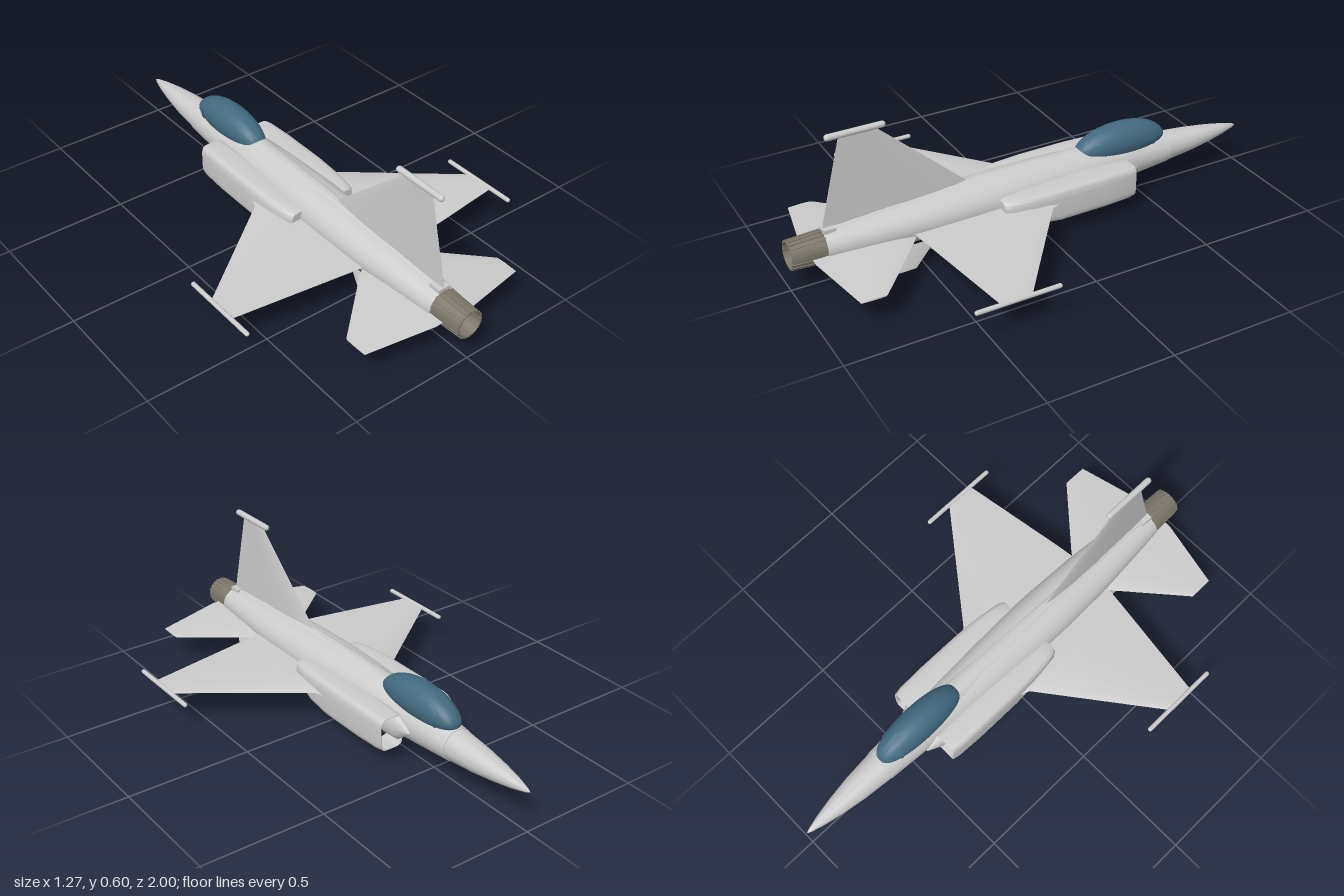
import * as THREE from 'three';
import { toCreasedNormals } from 'three/addons/utils/BufferGeometryUtils.js';

const grey = new THREE.MeshStandardMaterial({ color: 0xcccccc });
const glass = new THREE.MeshStandardMaterial({ color: 0x426a80 });
const metal = new THREE.MeshStandardMaterial({ color: 0x7d776a, side: THREE.DoubleSide });
const dark = new THREE.MeshStandardMaterial({ color: 0x2b3136, side: THREE.DoubleSide });

// Skin a list of equal-length rings and close both ends; mirror = -1 flips to the other side
function skin(rings, mirror = 1, crease = 0.6) {
  const n = rings[0].length, pos = [], idx = [];
  const tri = (a, b, c) => (mirror > 0 ? idx.push(a, b, c) : idx.push(a, c, b));
  const put = (p) => pos.push(p.x * mirror, p.y, p.z);
  rings.forEach((ring) => ring.forEach(put));
  for (let i = 0; i < rings.length - 1; i++) {
    for (let j = 0; j < n; j++) {
      const a = i * n + j, b = i * n + ((j + 1) % n);
      tri(a, b, b + n);
      tri(a, b + n, a + n);
    }
  }
  [0, rings.length - 1].forEach((r, end) => {
    const centre = rings[r].reduce((s, p) => s.add(p), new THREE.Vector3()).divideScalar(n);
    const c = pos.length / 3;
    put(centre);
    for (let j = 0; j < n; j++) {
      const a = r * n + j, b = r * n + ((j + 1) % n);
      if (end) tri(a, b, c); else tri(b, a, c);
    }
  });
  const g = new THREE.BufferGeometry();
  g.setAttribute('position', new THREE.Float32BufferAttribute(pos, 3));
  g.setIndex(idx);
  return toCreasedNormals(g, crease);
}

// Rounded cross-section: z, half width, bottom, top, squareness, centre x
function section([z, w, bottom, top, power = 2, cx = 0], sides = 40) {
  const cy = (top + bottom) / 2, h = (top - bottom) / 2;
  const bend = (v) => Math.sign(v) * Math.abs(v) ** (2 / power);
  return Array.from({ length: sides }, (_, j) => {
    const a = (j / sides) * Math.PI * 2;
    return new THREE.Vector3(cx + w * bend(Math.cos(a)), cy + h * bend(Math.sin(a)), z);
  });
}

// Thin aerofoil: span x, y, leading z, trailing z, half thickness
const FOIL = [[0, 0], [0.08, 0.6], [0.25, 0.95], [0.45, 1], [0.75, 0.6], [1, 0.12],
  [1, -0.12], [0.75, -0.6], [0.45, -1], [0.25, -0.95], [0.08, -0.6]];
const foil = ([x, y, lead, trail, t]) =>
  FOIL.map(([u, v]) => new THREE.Vector3(x, y + v * t, lead + u * (trail - lead)));

export function createModel() {
  const model = new THREE.Group();
  const add = (name, geometry, material = grey) => {
    const mesh = new THREE.Mesh(geometry, material);
    mesh.name = name;
    model.add(mesh);
    return mesh;
  };
  const pod = (name, r, length, x, y, z) =>
    add(name, new THREE.CapsuleGeometry(r, length - 2 * r, 6, 14).rotateX(Math.PI / 2)).position.set(x, y, z);

  // Nose cone and fuselage
  add('noseCone', skin([
    [-1, 0.001, 0.163, 0.165], [-0.985, 0.008, 0.155, 0.172], [-0.93, 0.023, 0.141, 0.185],
    [-0.85, 0.039, 0.126, 0.199], [-0.75, 0.054, 0.112, 0.212], [-0.625, 0.065, 0.099, 0.224],
  ].map((s) => section(s))));
  add('fuselage', skin([
    [-0.625, 0.067, 0.097, 0.226], [-0.5, 0.075, 0.085, 0.237], [-0.38, 0.083, 0.076, 0.245],
    [-0.2, 0.093, 0.068, 0.253], [-0.05, 0.1, 0.065, 0.258], [0.12, 0.106, 0.066, 0.258],
    [0.3, 0.105, 0.072, 0.253], [0.5, 0.099, 0.078, 0.243], [0.7, 0.083, 0.086, 0.23],
    [0.865, 0.066, 0.092, 0.216],
  ].map((s) => section(s))));

  // Bubble canopy with its windscreen frame
  const canopy = [];
  for (let i = 0; i <= 24; i++) {
    const a = (i / 24) * Math.PI;
    const s = Math.max(Math.sin(a), 0.005);
    canopy.push(section([-0.415 - 0.205 * Math.cos(a), 0.068 * s ** 0.75, 0.235 - 0.06 * s, 0.235 + 0.091 * s ** 1.1]));
  }
  add('canopy', skin(canopy), glass);
  add('windscreenFrame', skin([
    section([-0.553, 0.0575, 0.19, 0.294]), section([-0.546, 0.0595, 0.19, 0.298]),
  ]), glass);

  // Spine ridge behind the canopy, running into the fin
  add('spine', skin([
    [-0.25, 0.05, 0.19, 0.258], [0, 0.045, 0.19, 0.263], [0.25, 0.032, 0.19, 0.261],
    [0.6, 0.024, 0.18, 0.247], [0.86, 0.02, 0.17, 0.222],
  ].map((s) => section(s, 20))));

  for (const m of [1, -1]) {
    const side = m > 0 ? 'left' : 'right';

    // Side intake: hollow lip, then a body tapering to the rear
    add(side + 'Intake', skin([
      [-0.27, 0.043, 0.08, 0.194, 5, 0.116], [-0.388, 0.046, 0.076, 0.2, 5, 0.116],
      [-0.392, 0.05, 0.072, 0.204, 5, 0.116], [-0.36, 0.054, 0.069, 0.207, 5, 0.118],
      [-0.25, 0.058, 0.066, 0.209, 5, 0.118], [-0.05, 0.058, 0.065, 0.208, 5, 0.118],
      [0.06, 0.056, 0.075, 0.206, 4.5, 0.115], [0.13, 0.053, 0.1, 0.203, 4, 0.11],
      [0.17, 0.049, 0.127, 0.2, 3.5, 0.107], [0.185, 0.042, 0.14, 0.195, 3, 0.104],
    ].map((s) => section(s)), m));
    add(side + 'IntakeDuct', skin([
      section([-0.31, 0.044, 0.078, 0.197, 5, 0.116]), section([-0.3, 0.044, 0.078, 0.197, 5, 0.116]),
    ], m), dark);
    add(side + 'IntakeCone', skin([
      [-0.452, 0.003, 0.147, 0.153, 2, 0.08], [-0.39, 0.026, 0.1, 0.2, 2, 0.082],
      [-0.32, 0.03, 0.095, 0.2, 2, 0.082],
    ].map((s) => section(s, 24)), m));

    // Wing with a kinked root, and its tip rail
    add(side + 'Wing', skin([
      [0.05, 0.15, -0.12, 0.545, 0.012], [0.165, 0.15, -0.065, 0.53, 0.011],
      [0.187, 0.15, 0.002, 0.527, 0.011], [0.62, 0.14, 0.338, 0.465, 0.003],
    ].map(foil), m));
    pod(side + 'WingTipRail', 0.009, 0.345, m * 0.626, 0.14, 0.395);

    // Tailplane
    add(side + 'Tailplane', skin([
      [0.05, 0.142, 0.5, 0.925, 0.009], [0.088, 0.14, 0.53, 0.925, 0.009],
      [0.12, 0.138, 0.553, 0.918, 0.008], [0.36, 0.122, 0.77, 0.868, 0.003],
    ].map(foil), m));

    // Ventral fin, splayed outward
    add(side + 'VentralFin', skin([
      [0, 0, 0.44, 0.755, 0.004], [0.092, 0, 0.54, 0.69, 0.0025],
    ].map(foil), m).rotateZ(m * -1.28).translate(m * 0.069, 0.09, 0));
  }

  // Upright tail fin and its cap pod
  add('tailFin', skin([
    [0.19, 0, 0.2, 0.868, 0.014], [0.255, 0, 0.27, 0.854, 0.011], [0.58, 0, 0.63, 0.772, 0.004],
  ].map(foil)).rotateZ(Math.PI / 2));
  pod('finCapPod', 0.0125, 0.235, 0, 0.586, 0.708);
  add('finRootFairing', new THREE.BoxGeometry(0.05, 0.03, 0.05)).position.set(0, 0.213, 0.84);

  // Exhaust nozzle: hollow shell, raised petals and dark interior
  const nozzle = new THREE.Group();
  nozzle.name = 'nozzle';
  nozzle.position.set(0, 0.154, 0);
  model.add(nozzle);
  const profile = [[0.05, 0.85], [0.06, 0.855], [0.06, 0.9], [0.054, 1], [0.05, 1], [0.046, 0.93]];
  const shell = new THREE.LatheGeometry(profile.map((p) => new THREE.Vector2(...p)), 40);
  const part = (name, geometry, material) => {
    const mesh = new THREE.Mesh(geometry, material);
    mesh.name = name;
    nozzle.add(mesh);
  };
  part('nozzleShell', toCreasedNormals(shell.rotateX(Math.PI / 2), 0.6), metal);
  part('exhaustInterior', new THREE.CircleGeometry(0.0485, 40).translate(0, 0, 0.94), dark);
  for (let i = 0; i < 20; i++) {
    const petal = new THREE.BoxGeometry(0.011, 0.004, 0.136);
    petal.rotateX(0.045).translate(0, 0.0585, 0.931).rotateZ((i / 20) * Math.PI * 2);
    part('nozzlePetal', petal, metal);
  }
  return model;
}
